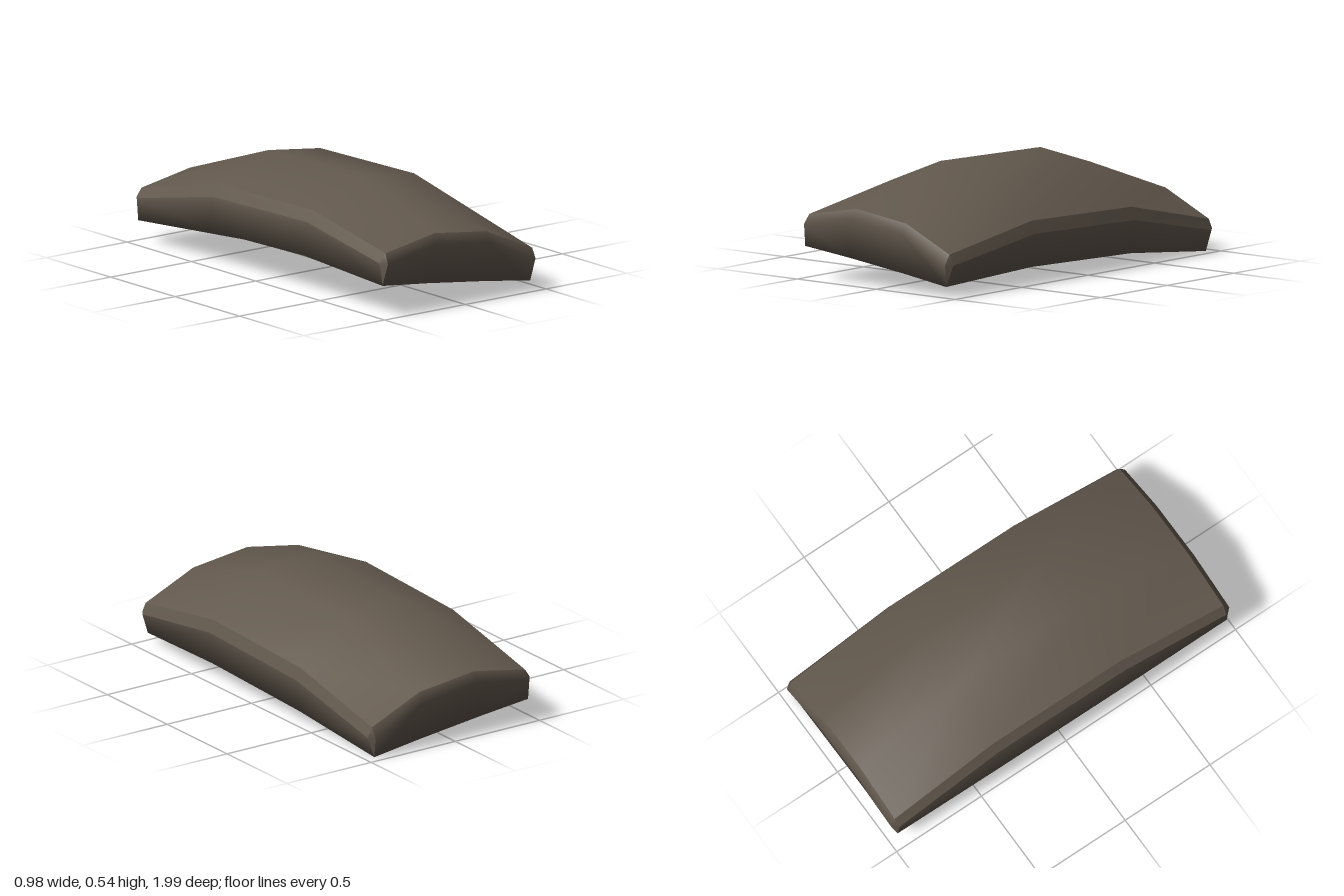
import * as THREE from 'three';
import { mergeVertices } from 'three/addons/utils/BufferGeometryUtils.js';

const END = [0, 3];
const isEnd = (i) => i === 0 || i === 3;
const pick = (i, outer, inner) => (i < 2 ? -1 : 1) * (isEnd(i) ? outer : inner);
const height = (i, j, corner, side, end, inner) =>
  isEnd(i) ? (isEnd(j) ? corner : side) : (isEnd(j) ? end : inner);

// Control points: i runs across the width, j along the length
const top = (i, j) => new THREE.Vector3(
  pick(i, 0.4525, 0.16), height(i, j, 0.16, 0.275, 0.25, 0.435), pick(j, 0.962, 0.37));
const bottom = (i, j) => new THREE.Vector3(
  pick(i, isEnd(j) ? 0.455 : 0.48, 0.175), height(i, j, 0, 0.05, 0.005, -0.017), pick(j, 0.963, 0.37));
const sideRim = (i, j) => new THREE.Vector3(
  pick(i, 0.48, 0), isEnd(j) ? 0.11 : 0.215, pick(j, 0.957, 0.37));
const endRim = (i, j) => new THREE.Vector3(
  pick(i, 0.455, 0.165), isEnd(i) ? 0.11 : 0.2, pick(j, 0.99, 0));

// Collects outward-facing triangles and welds them into one smooth surface
function makePatch(fill) {
  const points = [];
  const centre = new THREE.Vector3(0, 0.15, 0);
  const tri = (a, b, c) => {
    const n = b.clone().sub(a).cross(c.clone().sub(a));
    const out = a.clone().add(b).add(c).divideScalar(3).sub(centre);
    points.push(...(n.dot(out) < 0 ? [a, c, b] : [a, b, c]));
  };
  const quad = (a, b, c, d) => { tri(a, b, c); tri(a, c, d); };
  fill(quad, tri);
  const geometry = mergeVertices(new THREE.BufferGeometry().setFromPoints(points), 1e-4);
  geometry.computeVertexNormals();
  return geometry;
}

export function createModel() {
  const group = new THREE.Group();
  group.name = 'curvedSlab';
  const brown = new THREE.MeshStandardMaterial({ color: 0x62584d });
  brown.name = 'dark brown';
  brown.side = THREE.DoubleSide;

  const slab = new THREE.Group();
  slab.name = 'slab';
  const add = (name, fill) => {
    const mesh = new THREE.Mesh(makePatch(fill), brown);
    mesh.name = name;
    slab.add(mesh);
  };

  // Domed top
  add('top', (quad) => {
    for (let i = 0; i < 3; i++) for (let j = 0; j < 3; j++)
      quad(top(i, j), top(i + 1, j), top(i + 1, j + 1), top(i, j + 1));
  });

  // Narrow bevels along the long edges
  for (const i of END) add(i ? 'leftBevel' : 'rightBevel', (quad) => {
    for (let j = 0; j < 3; j++)
      quad(top(i, j), top(i, j + 1), sideRim(i, j + 1), sideRim(i, j));
  });

  // Walls and underside share smooth normals
  add('body', (quad) => {
    for (const e of END) for (let k = 0; k < 3; k++) {
      quad(sideRim(e, k), sideRim(e, k + 1), bottom(e, k + 1), bottom(e, k));
      quad(top(k, e), top(k + 1, e), endRim(k + 1, e), endRim(k, e));
      quad(endRim(k, e), endRim(k + 1, e), bottom(k + 1, e), bottom(k, e));
    }
    for (let i = 0; i < 3; i++) for (let j = 0; j < 3; j++)
      quad(bottom(i, j), bottom(i + 1, j), bottom(i + 1, j + 1), bottom(i, j + 1));
  });

  // Chamfered upright corners
  for (const i of END) for (const j of END) add('cornerChamfer', (quad, tri) => {
    tri(top(i, j), sideRim(i, j), endRim(i, j));
    tri(bottom(i, j), sideRim(i, j), endRim(i, j));
  });

  // The slab lies slightly tilted and turned
  slab.rotation.set(-0.026, -0.012, -0.121);
  slab.position.set(-0.018, 0.081, 0.005);
  group.add(slab);
  return group;
}
